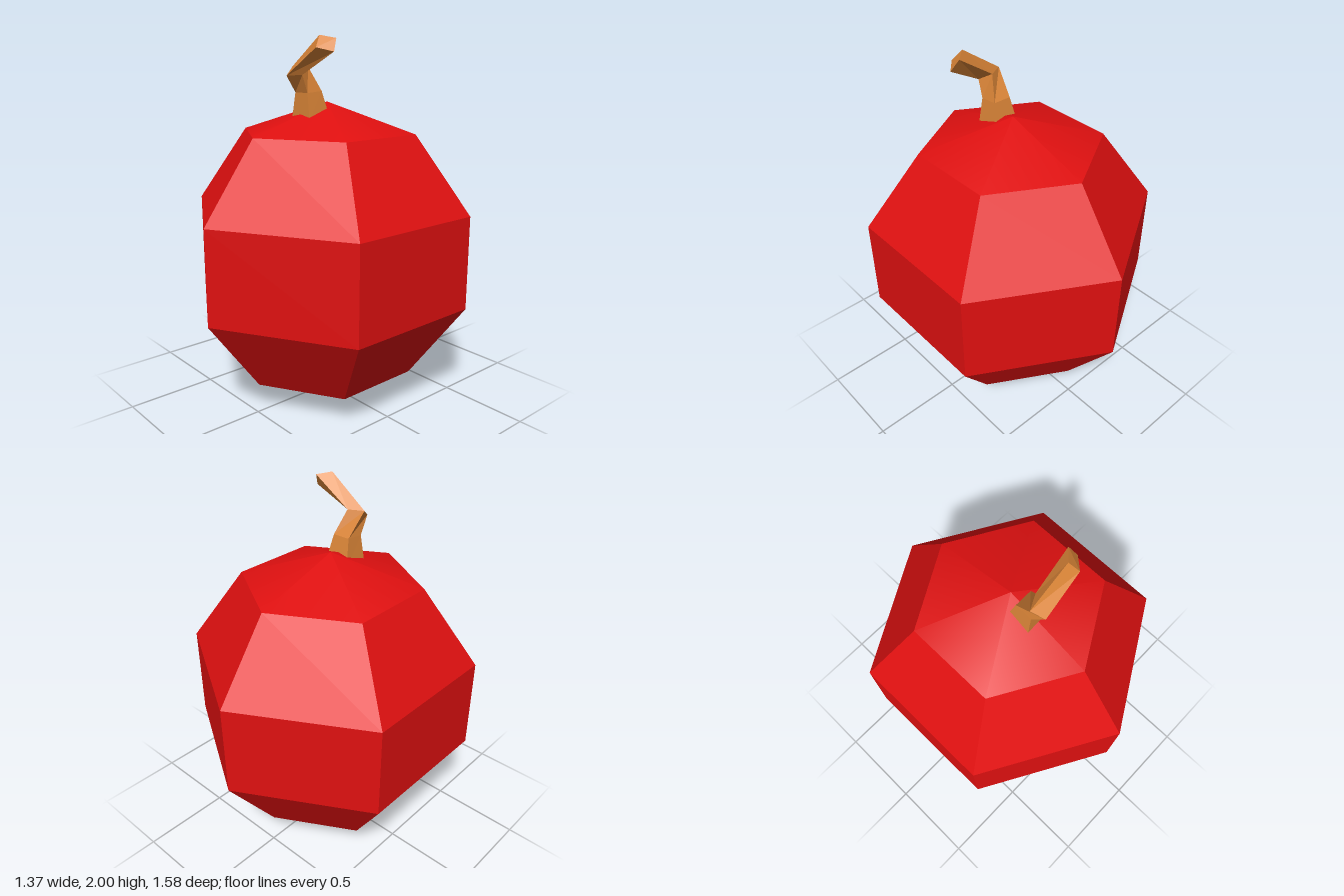
import * as THREE from 'three';
import { toCreasedNormals } from 'three/addons/utils/BufferGeometryUtils.js';

// Skins a stack of four-cornered rings (back left, back right, front right, front left)
function loftSquare(rings) {
  const positions = [];
  const quad = (a, b, c, d) => positions.push(...a, ...b, ...c, ...a, ...c, ...d);
  for (let i = 0; i < rings.length - 1; i++) {
    for (let j = 0; j < 4; j++) {
      const k = (j + 1) % 4;
      quad(rings[i][k], rings[i][j], rings[i + 1][j], rings[i + 1][k]);
    }
  }
  const [a, b, c, d] = rings[0];
  quad(a, b, c, d);
  const [e, f, g, h] = rings[rings.length - 1];
  quad(h, g, f, e);
  const geometry = new THREE.BufferGeometry();
  geometry.setAttribute('position', new THREE.Float32BufferAttribute(positions, 3));
  geometry.computeVertexNormals();
  return geometry;
}

export function createModel() {
  const group = new THREE.Group();
  const red = new THREE.MeshStandardMaterial({ color: 0xe01010 });
  red.name = 'fruitRed';
  const brown = new THREE.MeshStandardMaterial({ color: 0xd98437 });
  brown.name = 'stemBrown';

  // Six-sided fruit: crisp side facets, softly shaded top and bottom caps
  const radius = 0.83;
  const fruitGeometry = new THREE.SphereGeometry(radius, 6, 5).rotateY(Math.PI / 2);
  fruitGeometry.translate(0, radius, 0);
  const fruit = new THREE.Mesh(toCreasedNormals(fruitGeometry, 0.45), red);
  fruit.name = 'fruit';
  group.add(fruit);

  // Crooked stem: flared foot, neck, elbow and tip
  const stem = new THREE.Mesh(loftSquare([
    [[-0.073, 1.57, 0.04], [0.073, 1.57, 0.04], [0.073, 1.57, 0.182], [-0.073, 1.57, 0.182]],
    [[-0.05, 1.72, 0.08], [0.05, 1.72, 0.08], [0.05, 1.713, 0.176], [-0.05, 1.713, 0.176]],
    [[-0.067, 1.845, 0.18], [0.012, 1.845, 0.14], [0.047, 1.805, 0.206], [-0.033, 1.8, 0.246]],
    [[0.157, 2.0, 0.185], [0.22, 1.985, 0.13], [0.247, 1.92, 0.168], [0.187, 1.94, 0.233]],
  ]), brown);
  stem.name = 'stem';
  group.add(stem);

  return group;
}
